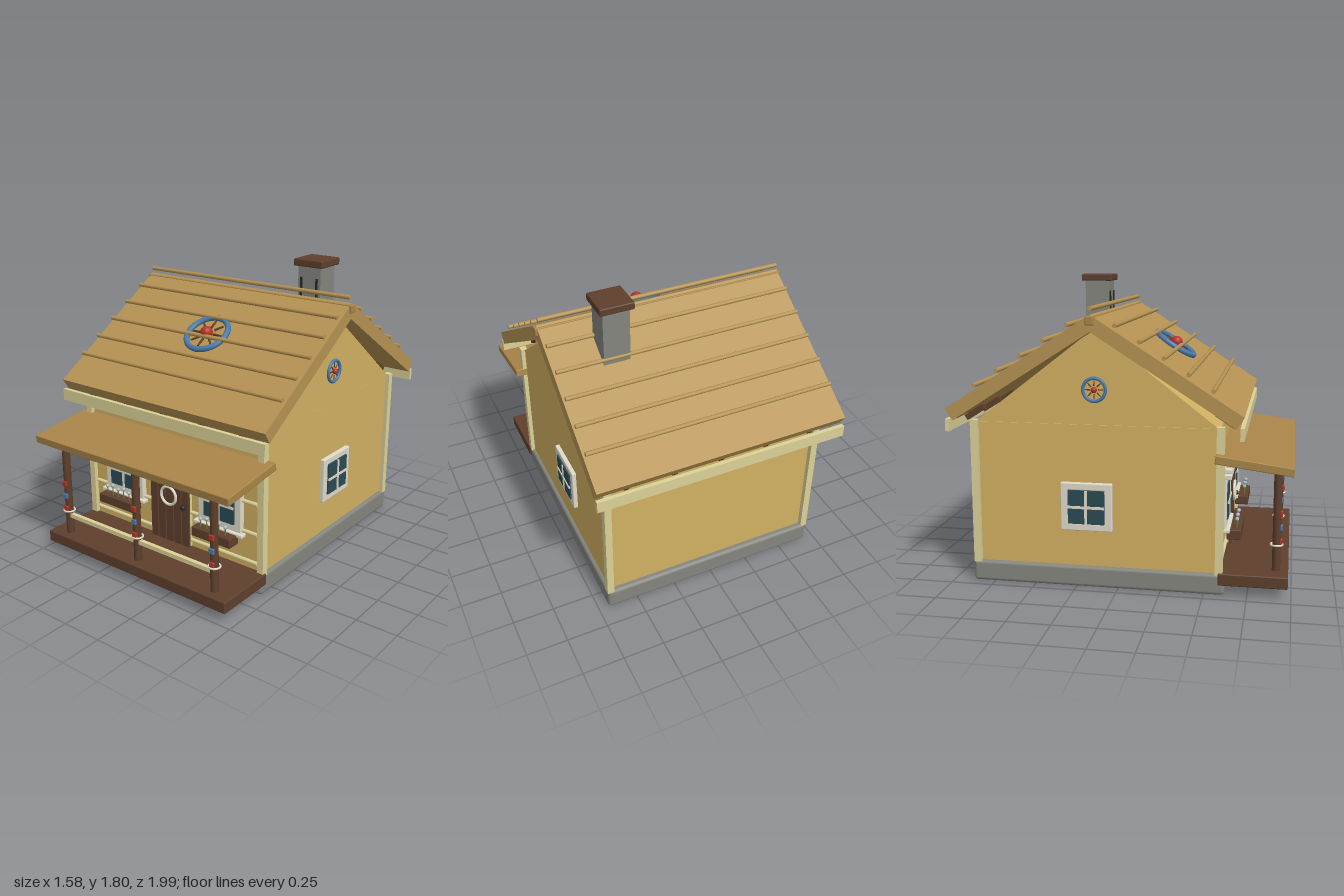
import * as THREE from 'three';
import { RoundedBoxGeometry } from 'three/addons/geometries/RoundedBoxGeometry.js';

const C = {
  wall: 0xd2b062, cream: 0xdcd298, roof: 0xb59252, wood: 0xa98548, brown: 0x5e3f2c, stone: 0x84857e,
  blue: 0x4a7aa8, red: 0xb83326, glass: 0x2b4a55, white: 0xdfdbca, dark: 0x2b2622, stem: 0x6d7a4a, petal: 0xaebcc4,
};
const mats = {};
for (const k in C) mats[k] = new THREE.MeshStandardMaterial({ color: C[k] });

const RIDGE_Z = -0.135, RIDGE_Y = 1.605, RUN = 0.857, DROP = 0.547;
const PITCH = Math.atan2(DROP, RUN);

function add(parent, name, geo, mat, x = 0, y = 0, z = 0) {
  const m = new THREE.Mesh(geo, mats[mat]);
  m.name = name;
  m.position.set(x, y, z);
  parent.add(m);
  return m;
}
// Box given by its size and centre; r rounds the edges
function box(parent, name, mat, w, h, d, x, y, z, r = 0) {
  const geo = r ? new RoundedBoxGeometry(w, h, d, 2, r) : new THREE.BoxGeometry(w, h, d);
  return add(parent, name, geo, mat, x, y, z);
}
function rodX(parent, name, mat, r, len, y, z) {
  const geo = new THREE.CylinderGeometry(r, r, len, 10).rotateZ(Math.PI / 2);
  return add(parent, name, geo, mat, 0, y, z);
}
// Prism along x from a [z, y] outline
function prismX(parent, name, mat, pts, width) {
  const s = new THREE.Shape(pts.map(([z, y]) => new THREE.Vector2(-z, y)));
  const geo = new THREE.ExtrudeGeometry(s, { depth: width, bevelEnabled: false });
  geo.translate(0, 0, -width / 2).rotateY(Math.PI / 2);
  return add(parent, name, geo, mat);
}
function group(parent, name, x = 0, y = 0, z = 0) {
  const g = new THREE.Group();
  g.name = name;
  g.position.set(x, y, z);
  parent.add(g);
  return g;
}

// Ornamental wheel facing +z: rim, eight spokes, round hub
function wheel(parent, name, R, tube, hub) {
  const g = group(parent, name);
  add(g, 'wheelRim', new THREE.TorusGeometry(R, tube, 10, 40), 'blue');
  add(g, 'wheelHub', new THREE.SphereGeometry(hub, 20, 14), 'red', 0, 0, tube * 0.6);
  for (let i = 0; i < 8; i++) {
    const a = i * Math.PI / 4;
    const geo = new THREE.CylinderGeometry(tube * 0.3, tube * 0.45, R * 0.45, 6);
    const s = add(g, 'wheelSpoke', geo, 'brown', Math.cos(a) * R * 0.58, Math.sin(a) * R * 0.58, 0);
    s.rotation.z = a - Math.PI / 2;
  }
  return g;
}

// Four-pane window facing +z, centred on its origin
function windowUnit(parent, name, w, h, pw, ph) {
  const g = group(parent, name);
  const fw = (w - pw) / 2, fh = (h - ph) / 2;
  for (const s of [-1, 1]) {
    box(g, 'windowFrameSide', 'white', fw, h, 0.035, s * (w - fw) / 2, 0, 0.008, 0.006);
    box(g, 'windowFrameRail', 'white', w, fh, 0.035, 0, s * (h - fh) / 2, 0.008, 0.006);
  }
  box(g, 'windowGlass', 'glass', pw, ph, 0.03, 0, 0, 0.018);
  box(g, 'windowBarUpright', 'white', 0.016, ph, 0.012, 0, 0, 0.032);
  box(g, 'windowBarAcross', 'white', pw, 0.016, 0.012, 0, 0, 0.032);
  return g;
}

function buildBody(house) {
  box(house, 'foundation', 'stone', 1.38, 0.125, 1.5, 0, 0.0625, -0.13, 0.02);
  box(house, 'walls', 'wall', 1.335, 0.85, 1.43, 0, 0.545, -0.13);
  prismX(house, 'gable', 'wall', [[0.575, 0.972], [RIDGE_Z, 1.52], [-0.845, 0.972]], 1.34);
  for (const x of [-0.672, 0.672]) for (const z of [0.588, -0.853])
    box(house, 'cornerPost', 'cream', 0.042, 0.865, 0.045, x, 0.55, z);
  // Rails across the front wall
  for (const y of [0.18, 0.365, 0.555]) rodX(house, 'wallRail', 'cream', 0.012, 1.28, y, 0.592);
  for (const s of [-1, 1]) {
    const win = windowUnit(house, 'sideWindow', 0.305, 0.285, 0.215, 0.2);
    win.position.set(s * 0.668, 0.487, -0.185);
    win.rotation.y = s * Math.PI / 2;
    const w = wheel(house, 'gableWheel', 0.066, 0.01, 0.018);
    w.position.set(s * 0.676, 1.175, RIDGE_Z);
    w.rotation.y = s * Math.PI / 2;
  }
}

function buildRoof(house) {
  const roof = group(house, 'roof');
  const t = 0.08, nz = Math.sin(PITCH) * t, ny = Math.cos(PITCH) * t;
  const eaveY = RIDGE_Y - DROP, zf = RIDGE_Z + RUN, zb = RIDGE_Z - RUN;
  prismX(roof, 'roofSlopes', 'roof', [
    [zf, eaveY], [RIDGE_Z, RIDGE_Y], [zb, eaveY],
    [zb + nz, eaveY - ny], [RIDGE_Z, RIDGE_Y - t / Math.cos(PITCH)], [zf - nz, eaveY - ny],
  ], 1.55);
  box(roof, 'ridgeBeam', 'wood', 1.58, 0.05, 0.048, 0, 1.572, RIDGE_Z, 0.006);
  rodX(roof, 'ridgeCap', 'roof', 0.013, 1.53, 1.637, RIDGE_Z);
  for (const s of [-1, 1]) {
    for (let i = 1; i <= 5; i++) {
      const d = i * 0.137;
      rodX(roof, 'roofBatten', 'roof', 0.013, 1.53, RIDGE_Y + 0.028 - d * DROP / RUN, RIDGE_Z + s * d);
    }
    box(roof, 'eaveBoard', 'cream', 1.55, 0.072, 0.024, 0, 0.962, RIDGE_Z + s * 0.847);
    // Rafter tails under the eaves
    for (let i = -2; i <= 2; i++) {
      const r = box(roof, 'rafterTail', 'brown', 0.03, 0.035, 0.13, i * 0.29, 1.01, RIDGE_Z + s * 0.745);
      r.rotation.x = s * PITCH;
    }
  }
  const w = wheel(roof, 'roofWheel', 0.134, 0.018, 0.038);
  w.position.set(0, 1.38, 0.24);
  w.rotation.x = PITCH - Math.PI / 2;

  const chimney = group(roof, 'chimney', 0.405, 0, -0.335);
  box(chimney, 'chimneyStack', 'stone', 0.16, 0.5, 0.16, 0, 1.52, 0);
  box(chimney, 'chimneyCap', 'brown', 0.205, 0.045, 0.205, 0, 1.78, 0, 0.008);
  for (const x of [-0.055, 0.055]) box(chimney, 'chimneySlot', 'dark', 0.013, 0.14, 0.012, x, 1.62, 0.082);
}

function buildPorch(house) {
  const porch = group(house, 'porch');
  box(porch, 'porchDeck', 'brown', 1.405, 0.072, 0.397, 0, 0.1, 0.782, 0.008);
  box(porch, 'porchStep', 'stone', 0.52, 0.05, 0.2, 0, 0.04, 0.73, 0.012);
  const top = box(porch, 'porchRoof', 'wood', 1.485, 0.05, 0.44, 0, 0.782, 0.78, 0.006);
  top.rotation.x = 0.13;
  for (const x of [-0.578, 0, 0.578]) {
    const post = group(porch, 'porchPost', x, 0, 0.91);
    add(post, 'postShaft', new THREE.CylinderGeometry(0.024, 0.024, 0.63, 16), 'brown', 0, 0.445, 0);
    [['red', 0.475], ['blue', 0.392], ['red', 0.308]].forEach(([c, y]) =>
      box(post, 'postOrnament', c, 0.034, 0.034, 0.016, 0, y, 0.024, 0.005));
    add(post, 'postRing', new THREE.TorusGeometry(0.034, 0.006, 8, 24).rotateX(Math.PI / 2), 'white', 0, 0.29, 0);
  }
  box(porch, 'porchRail', 'cream', 1.16, 0.026, 0.026, 0, 0.258, 0.91);
}

function buildDoor(house) {
  const door = group(house, 'door', 0, 0.43, 0.595);
  box(door, 'doorBacking', 'cream', 0.3, 0.58, 0.02, 0, 0, 0);
  for (let i = -2; i <= 2; i++) box(door, 'doorPlank', 'brown', 0.053, 0.59, 0.03, i * 0.0615, 0, 0.01);
  add(door, 'doorKnob', new THREE.SphereGeometry(0.017, 16, 12), 'dark', 0.115, -0.033, 0.035);
  add(door, 'doorWreath', new THREE.TorusGeometry(0.058, 0.009, 10, 36), 'white', 0, 0.015, 0.033);
}

function buildFrontWindow(house, x) {
  const g = group(house, 'frontWindow', x, 0.5, 0.59);
  windowUnit(g, 'windowUnit', 0.315, 0.32, 0.22, 0.21);
  box(g, 'windowHead', 'white', 0.375, 0.03, 0.05, 0, 0.168, 0.03, 0.005);
  box(g, 'windowSill', 'white', 0.36, 0.022, 0.045, 0, -0.158, 0.025, 0.005);
  for (const dx of [-0.13, 0, 0.13]) box(g, 'windowHeadBlock', 'white', 0.05, 0.026, 0.04, dx, 0.195, 0.035, 0.004);
  box(g, 'flowerBox', 'brown', 0.285, 0.06, 0.085, 0, -0.187, 0.07, 0.006);
  for (let i = -2; i <= 2; i++) {
    const h = 0.055 + 0.012 * (Math.abs(i) % 2), dx = i * 0.046;
    add(g, 'flowerStem', new THREE.CylinderGeometry(0.004, 0.004, h, 6), 'stem', dx, -0.158 + h / 2, 0.085);
    add(g, 'flower', new THREE.SphereGeometry(0.012, 10, 8), 'petal', dx, -0.158 + h, 0.085);
  }
}

export function createModel() {
  const house = new THREE.Group();
  house.name = 'house';
  buildBody(house);
  buildRoof(house);
  buildPorch(house);
  buildDoor(house);
  for (const x of [-0.38, 0.38]) buildFrontWindow(house, x);
  return house;
}
